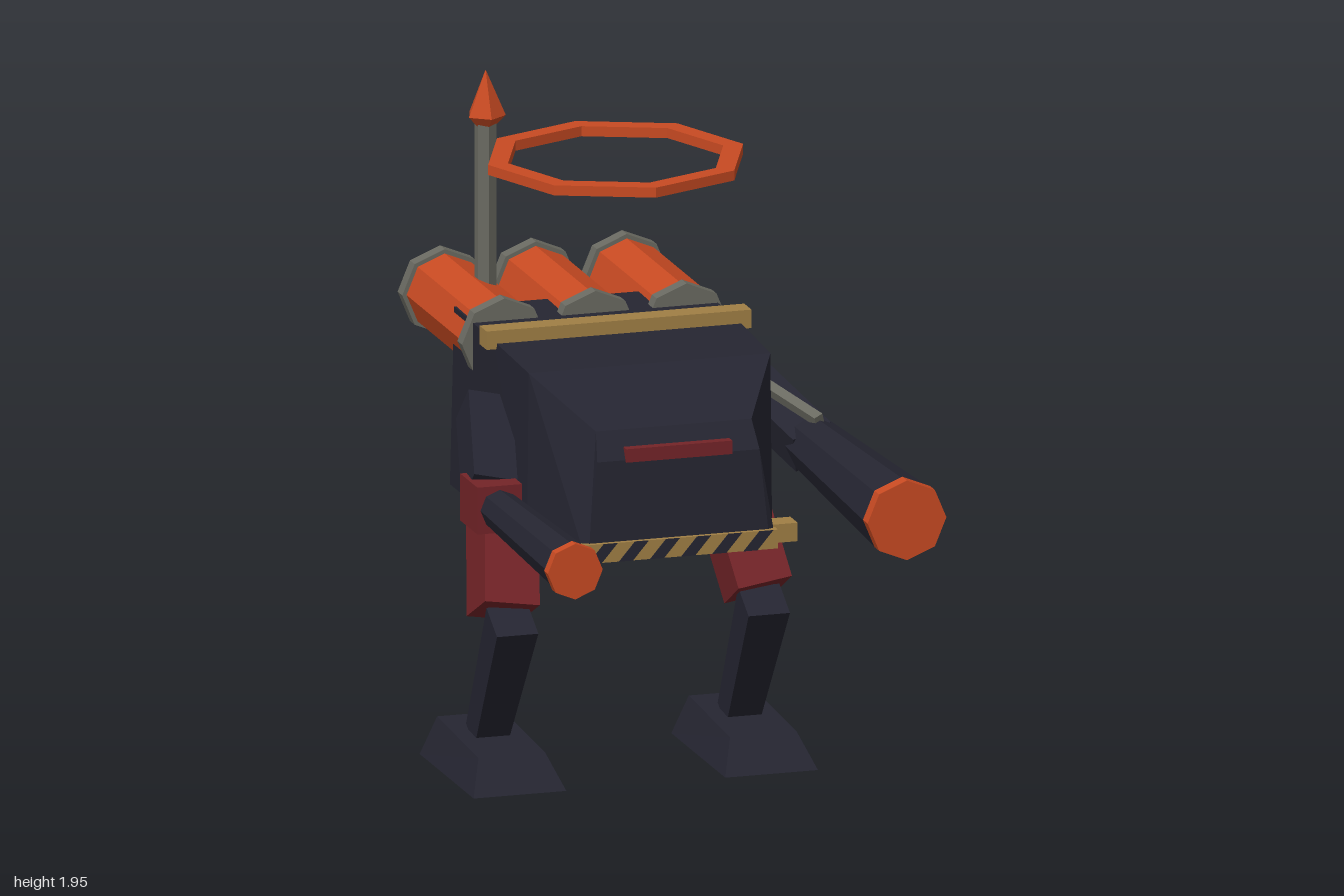
import * as THREE from 'three';

const mat = (name, color) => {
  const m = new THREE.MeshStandardMaterial({ color });
  m.name = name;
  m.flatShading = true;
  return m;
};

export function createModel() {
  const dark = mat('dark armour', 0x252531);
  const orange = mat('orange', 0xc84a22);
  const red = mat('dark red', 0x742428);
  const gold = mat('dull gold', 0xa07f45);
  const grey = mat('grey metal', 0x6a6a61);

  const root = new THREE.Group();
  root.name = 'walker';
  const CX = -0.035; // middle of the hull

  const add = (name, geo, m, x = 0, y = 0, z = 0, parent = root) => {
    const mesh = new THREE.Mesh(geo, m);
    mesh.name = name;
    mesh.position.set(x, y, z);
    parent.add(mesh);
    return mesh;
  };
  const box = (name, m, w, h, d, x, y, z) => add(name, new THREE.BoxGeometry(w, h, d), m, x, y, z);

  // Square beam from a to b, with the b end scaled by taper
  const beam = (name, m, a, b, w, d, taper = 1) => {
    const A = new THREE.Vector3(...a), B = new THREE.Vector3(...b);
    const len = A.distanceTo(B);
    const geo = new THREE.BoxGeometry(w, len, d);
    const p = geo.attributes.position;
    for (let i = 0; i < p.count; i++) {
      if (p.getY(i) < 0) p.setXYZ(i, p.getX(i) * taper, p.getY(i), p.getZ(i) * taper);
    }
    geo.computeVertexNormals();
    const mesh = add(name, geo, m);
    mesh.position.copy(A).add(B).multiplyScalar(0.5);
    mesh.quaternion.setFromUnitVectors(new THREE.Vector3(0, 1, 0), A.sub(B).normalize());
    return mesh;
  };

  // Eight-sided tube along z, from z0 (radius r0) to z1 (radius r1)
  const tube = (name, m, x, y, z0, z1, r0, r1 = r0) => {
    const geo = new THREE.CylinderGeometry(r1, r0, z1 - z0, 8);
    geo.rotateX(Math.PI / 2);
    return add(name, geo, m, x, y, (z0 + z1) / 2);
  };

  // Hull: four-cornered sections from back to front
  // [bottom z, bottom y, bottom half width, top z, top y, top half width]
  const sections = [
    [-0.605, 0.745, 0.37, -0.565, 1.285, 0.37],
    [-0.19, 0.745, 0.37, -0.19, 1.28, 0.37],
    [0.13, 0.745, 0.37, 0.13, 1.265, 0.365],
    [0.40, 0.81, 0.29, 0.36, 1.14, 0.235],
    [0.41, 0.82, 0.27, 0.405, 1.06, 0.245],
  ];
  const pos = [], idx = [];
  for (const [zb, yb, wb, zt, yt, wt] of sections) {
    pos.push(-wb, yb, zb, wb, yb, zb, wt, yt, zt, -wt, yt, zt);
  }
  for (let s = 0; s < sections.length - 1; s++) {
    for (let k = 0; k < 4; k++) {
      const a = s * 4 + k, b = s * 4 + (k + 1) % 4;
      idx.push(a, b, b + 4, a, b + 4, a + 4);
    }
  }
  const e = (sections.length - 1) * 4;
  idx.push(0, 2, 1, 0, 3, 2, e, e + 1, e + 2, e, e + 2, e + 3);
  let hull = new THREE.BufferGeometry();
  hull.setAttribute('position', new THREE.Float32BufferAttribute(pos, 3));
  hull.setIndex(idx);
  hull = hull.toNonIndexed();
  hull.computeVertexNormals();
  add('hull', hull, dark, CX);

  // Visor slit and gold bars
  box('visor', red, 0.32, 0.04, 0.05, CX, 1.075, 0.39);
  box('topBar', gold, 0.80, 0.055, 0.07, CX, 1.29, -0.195);
  box('bottomBar', gold, 0.80, 0.055, 0.07, CX, 0.768, 0.245);
  box('hazardBar', gold, 0.59, 0.056, 0.03, CX, 0.793, 0.41);

  // Slanted dark stripes on the front and top of the hazard bar
  const stripe = new THREE.Shape();
  stripe.moveTo(-0.045, -0.028);
  stripe.lineTo(-0.003, -0.028);
  stripe.lineTo(0.045, 0.028);
  stripe.lineTo(0.003, 0.028);
  const stripeGeo = new THREE.ExtrudeGeometry(stripe, { depth: 0.003, bevelEnabled: false });
  for (let i = 0; i < 6; i++) {
    add('hazardStripe', stripeGeo, dark, CX - 0.235 + i * 0.094, 0.793, 0.424);
  }

  // Three launch tubes on the back
  for (const i of [-1, 0, 1]) {
    const x = CX + i * 0.275;
    tube('launchTube', orange, x, 1.22, -0.97, -0.40, 0.115);
    tube('frontFlange', grey, x, 1.22, -0.43, -0.385, 0.128);
    tube('rearFlange', grey, x, 1.22, -1.0, -0.955, 0.128);
  }
  tube('exhaustHole', dark, CX - 0.275, 1.22, -1.003, -0.998, 0.03);

  // Mast with pointed tip
  const MX = -0.272, MZ = -0.685;
  add('mast', new THREE.CylinderGeometry(0.032, 0.032, 0.52, 6), grey, MX, 1.55, MZ);
  add('mastTip', new THREE.ConeGeometry(0.058, 0.135, 5), orange, MX, 1.883, MZ);
  add('mastTipBase', new THREE.CylinderGeometry(0.058, 0.03, 0.03, 5), orange, MX, 1.80, MZ);

  // Floating eight-sided ring
  const octagon = (path, r) => {
    for (let i = 0; i < 8; i++) {
      const a = i * Math.PI / 4;
      path[i ? 'lineTo' : 'moveTo'](r * Math.cos(a), r * Math.sin(a));
    }
    path.closePath();
    return path;
  };
  const halo = octagon(new THREE.Shape(), 0.385);
  halo.holes.push(octagon(new THREE.Path(), 0.325));
  const haloGeo = new THREE.ExtrudeGeometry(halo, { depth: 0.03, bevelEnabled: false });
  haloGeo.rotateX(-Math.PI / 2);
  add('halo', haloGeo, orange, CX, 1.775, -0.193);

  // Legs and shoulder sockets, mirrored
  for (const s of [-1, 1]) {
    beam('thigh', red, [CX + s * 0.325, 0.872, -0.247], [CX + s * 0.385, 0.512, -0.05], 0.165, 0.178);
    beam('shin', dark, [CX + s * 0.38, 0.50, 0.022], [CX + s * 0.38, 0.10, -0.222], 0.125, 0.118, 0.8);

    const foot = new THREE.BoxGeometry(0.28, 0.12, 0.515);
    const p = foot.attributes.position;
    for (let i = 0; i < p.count; i++) {
      if (p.getY(i) < 0) continue;
      const front = p.getZ(i) > 0;
      p.setXYZ(i, p.getX(i) * 0.72, front ? 0.037 : 0.06, front ? 0.18 : -0.215);
    }
    foot.computeVertexNormals();
    add('foot', foot, dark, CX + s * 0.38, 0.06, -0.163);

    const socket = new THREE.TorusGeometry(0.08, 0.026, 4, 3);
    socket.rotateZ(-Math.PI / 2);
    socket.rotateY(Math.PI / 2);
    add('shoulderSocket', socket, orange, CX + s * 0.375, 1.04, -0.187);
    add('shoulderPin', new THREE.IcosahedronGeometry(0.03), dark, CX + s * 0.385, 1.04, -0.187);
  }

  // Left arm: large cannon with a grey strut
  beam('leftUpperArm', dark, [0.36, 1.09, -0.19], [0.46, 0.975, 0.13], 0.13, 0.12);
  beam('armStrut', grey, [0.335, 1.14, -0.16], [0.465, 1.065, 0.17], 0.03, 0.03);
  tube('leftCannon', dark, 0.467, 0.977, 0.09, 0.96, 0.083, 0.117);
  tube('leftMuzzle', orange, 0.467, 0.98, 0.955, 1.0, 0.119);

  // Right arm: smaller gun on a red elbow block
  beam('rightUpperArm', dark, [-0.44, 1.09, -0.17], [-0.505, 0.91, 0.09], 0.13, 0.13);
  box('rightElbow', red, 0.135, 0.14, 0.165, -0.508, 0.885, 0.113);
  tube('rightGun', dark, -0.508, 0.885, 0.18, 0.87, 0.058, 0.075);
  tube('rightMuzzleCollar', grey, -0.508, 0.885, 0.868, 0.88, 0.078);
  tube('rightMuzzle', orange, -0.508, 0.885, 0.88, 0.915, 0.083);

  return root;
}
